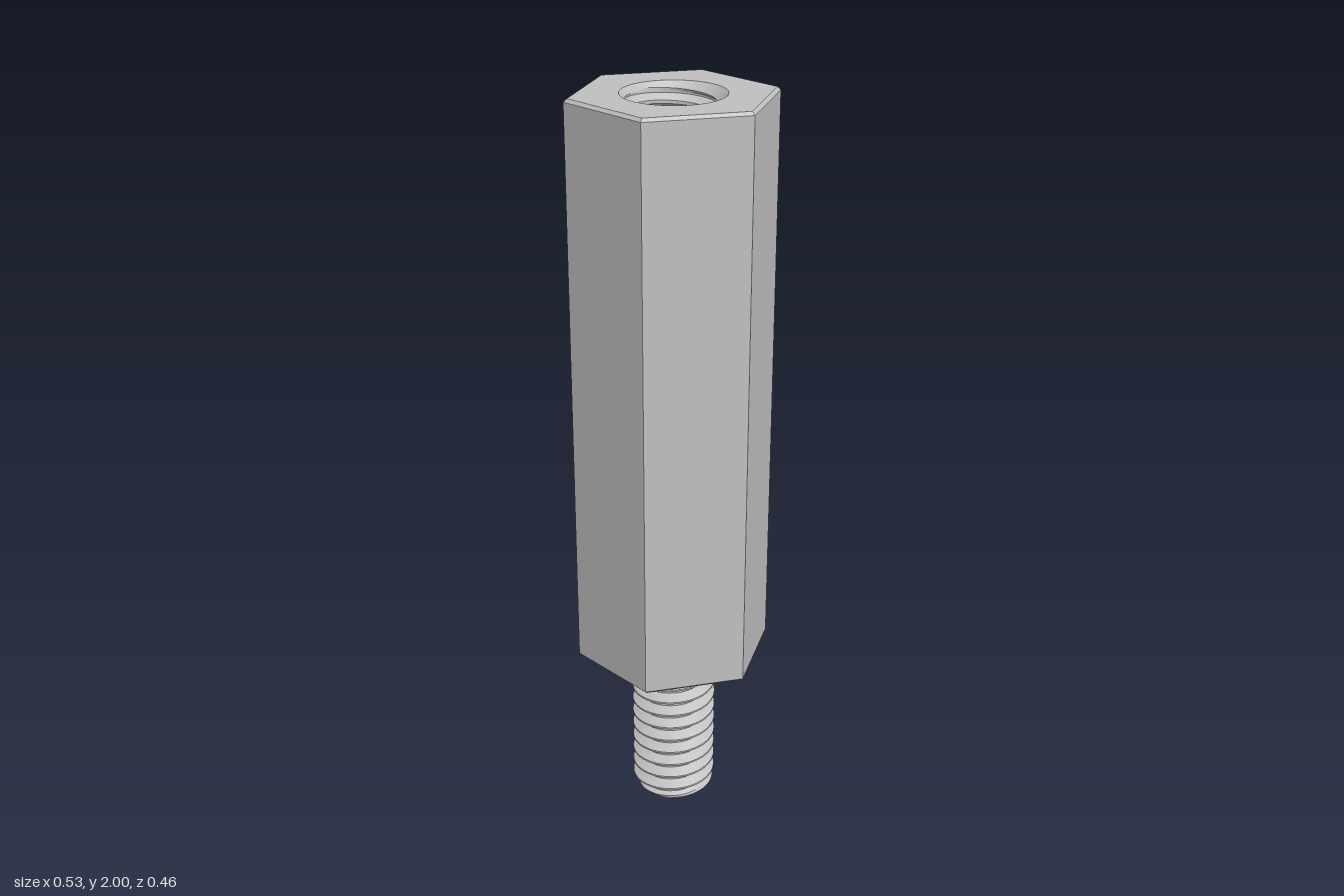
import * as THREE from 'three';
import { toCreasedNormals } from 'three/addons/utils/BufferGeometryUtils.js';

const SEG = 48;
const PITCH = 0.0414;
// one thread period: [fraction of pitch, 0 = root / 1 = crest]
const PERIOD = [[0, 0], [0.1, 0], [0.27, 0.5], [0.44, 1], [0.56, 1], [0.73, 0.5], [0.9, 0], [1, 0]];

// Helical thread between y0 and y1; limit(r, y) trims the radius for end chamfers
function threadGeometry(y0, y1, rLow, rHigh, limit, inward) {
  const pos = [];
  const point = (i, j) => {
    const [u, h] = PERIOD[j];
    const y = THREE.MathUtils.clamp(y0 + (i / SEG - 1 + u) * PITCH, y0, y1);
    const r = limit(rLow + (rHigh - rLow) * h, y);
    const t = ((i % SEG) / SEG) * Math.PI * 2;
    return new THREE.Vector3(r * Math.cos(t), y, -r * Math.sin(t));
  };
  const tri = new THREE.Triangle();
  const addFace = (a, b, c) => {
    tri.set(a, inward ? c : b, inward ? b : c);
    if (tri.getArea() < 1e-8) return;
    for (const v of [tri.a, tri.b, tri.c]) pos.push(v.x, v.y, v.z);
  };
  const steps = SEG * (Math.ceil((y1 - y0) / PITCH) + 1);
  for (let i = 0; i < steps; i++) {
    for (let j = 0; j < PERIOD.length - 1; j++) {
      const a = point(i, j), b = point(i + 1, j), c = point(i + 1, j + 1), d = point(i, j + 1);
      addFace(a, b, d);
      addFace(b, c, d);
    }
  }
  const g = new THREE.BufferGeometry();
  g.setAttribute('position', new THREE.Float32BufferAttribute(pos, 3));
  return toCreasedNormals(g, 0.4);
}

export function createModel() {
  const group = new THREE.Group();
  const steel = new THREE.MeshStandardMaterial({ color: 0xc0c0c0 });
  steel.name = 'steel';
  const add = (name, geometry) => {
    const mesh = new THREE.Mesh(geometry, steel);
    mesh.name = name;
    group.add(mesh);
    return mesh;
  };

  const R = 0.266, RIM = 0.257, TOP = 2, BASE = 0.47, BEVEL = 0.008;
  const MOUTH = 0.131, FLOOR = 1.4;

  // Hexagonal body with bevelled ends, closed underneath
  const profile = [[0, BASE], [RIM, BASE], [R, BASE + BEVEL], [R, TOP - BEVEL], [RIM, TOP]]
    .map(([r, y]) => new THREE.Vector2(r, y));
  const body = new THREE.LatheGeometry(profile, 6, Math.PI / 2).toNonIndexed();
  body.computeVertexNormals();
  add('hexBody', body);

  // Top face with the round mouth of the bore
  const hex = new THREE.Shape(Array.from({ length: 6 }, (_, i) =>
    new THREE.Vector2(RIM * Math.cos(i * Math.PI / 3), RIM * Math.sin(i * Math.PI / 3))));
  hex.holes.push(new THREE.Path().absarc(0, 0, MOUTH, 0, Math.PI * 2, true));
  const topFace = add('topFace', new THREE.ShapeGeometry(hex, SEG / 2));
  topFace.rotation.x = -Math.PI / 2;
  topFace.position.y = TOP;

  // Threaded bore with a countersunk mouth and flat floor
  add('boreThread', threadGeometry(FLOOR, TOP, 0.097, 0.117,
    (r, y) => Math.max(r, MOUTH - (TOP - y)), true));
  const floor = add('boreFloor', new THREE.CircleGeometry(0.118, SEG));
  floor.rotation.x = -Math.PI / 2;
  floor.position.y = FLOOR;

  // Threaded stud with a chamfered tip
  const TIP = 0.083;
  add('studThread', threadGeometry(0, BASE, 0.089, 0.115,
    (r, y) => Math.min(r, TIP + y), false));
  const tip = add('studTip', new THREE.CircleGeometry(TIP, SEG));
  tip.rotation.x = Math.PI / 2;

  return group;
}
